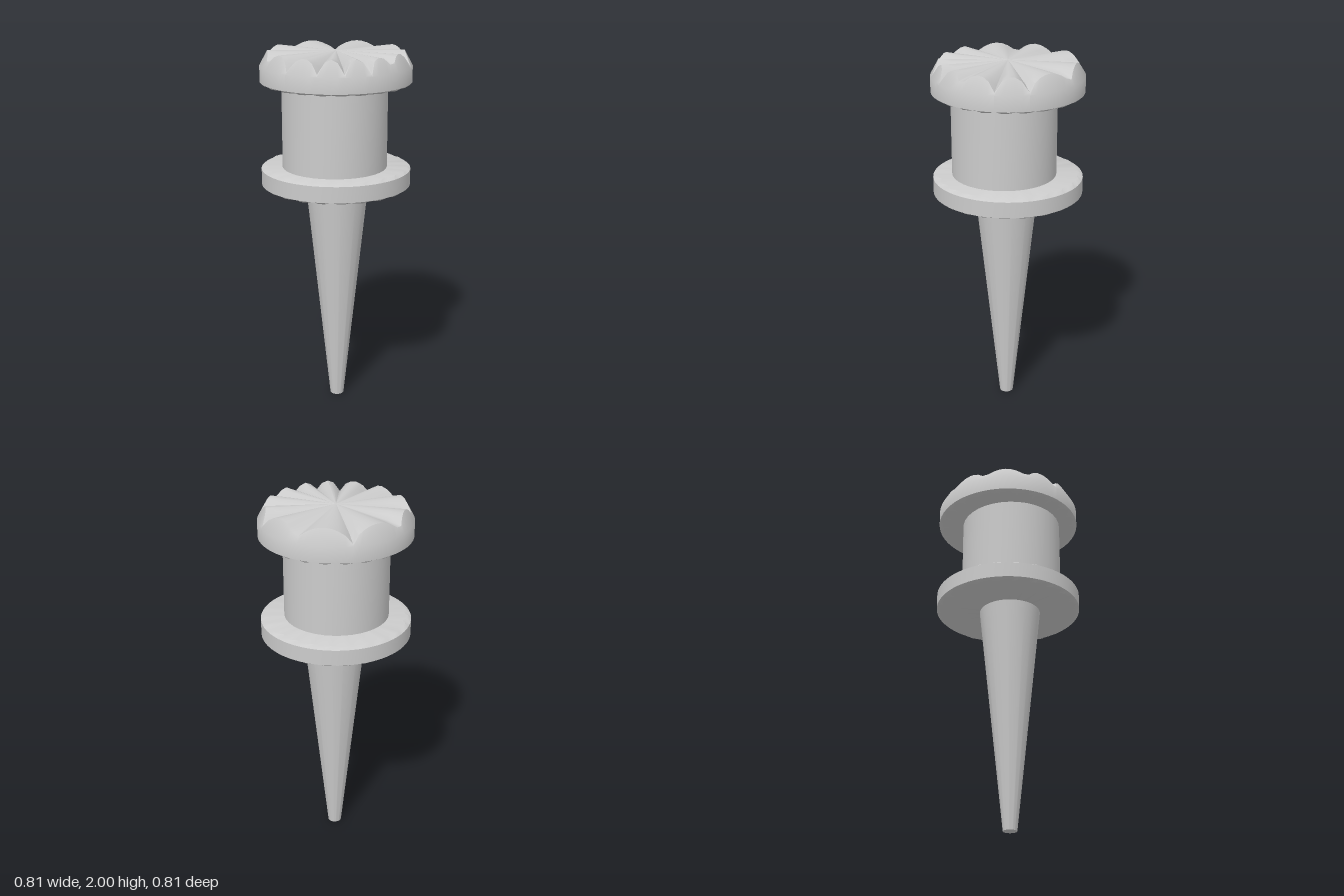
import * as THREE from 'three';
import { mergeVertices, toCreasedNormals } from 'three/addons/utils/BufferGeometryUtils.js';

const TAU = Math.PI * 2;
const material = new THREE.MeshStandardMaterial({ color: 0xcccccc, side: THREE.DoubleSide });

function addMesh(group, name, geometry, x = 0, y = 0, z = 0) {
  const mesh = new THREE.Mesh(geometry, material);
  mesh.name = name;
  mesh.position.set(x, y, z);
  group.add(mesh);
}

// Solid of 72 spokes whose profile of [radius, y] points, listed bottom to top, varies with angle
function turned(profileAt, crease) {
  const n = 72, points = [], index = [];
  let rows = 0;
  for (let i = 0; i < n; i++) {
    const a = (i / n) * TAU;
    const profile = profileAt(a);
    rows = profile.length;
    for (const [r, y] of profile) points.push(r * Math.cos(a), y, r * Math.sin(a));
  }
  for (let i = 0; i < n; i++) {
    const p = i * rows, q = ((i + 1) % n) * rows;
    for (let j = 0; j < rows - 1; j++) {
      if (j > 0) index.push(p + j, p + j + 1, q + j);
      if (j < rows - 2) index.push(q + j, p + j + 1, q + j + 1);
    }
  }
  let g = new THREE.BufferGeometry();
  g.setAttribute('position', new THREE.Float32BufferAttribute(points, 3));
  g.setIndex(index);
  g = mergeVertices(g, 1e-5);
  g.computeVertexNormals();
  return crease ? toCreasedNormals(g, crease) : g;
}

// Angles (degrees, from +x towards +z) of the creases pressed into the cap
const creases = [5, 30, 58, 80, 100, 120, 145, 172, 208, 242, 285, 327, 365];

// 0 at a crease, rising to 1 on the lobe between two creases
function lobe(a) {
  let deg = (a / TAU) * 360;
  if (deg < creases[0]) deg += 360;
  const k = creases.findIndex((c, i) => deg >= c && deg <= creases[i + 1]);
  const s = (deg - creases[k]) / (creases[k + 1] - creases[k]);
  return Math.pow(Math.max(0, Math.sin(Math.PI * s)), 0.65);
}

// Small scallops along the bevelled edges
const scallop = (a, count) => Math.abs(Math.sin((a * count) / 2));

export function createModel() {
  const group = new THREE.Group();

  // Tapered spike with a flat tip
  const spike = new THREE.CylinderGeometry(0.173, 0.038, 1.28, 36);
  addMesh(group, 'spike', toCreasedNormals(spike, 0.7), 0.003, 0.64, 0.011);

  // Lower collar
  const collar = turned((a) => {
    const inset = 0.36 + 0.03 * scallop(a, 23);
    return [[0, 1.264], [inset, 1.264], [0.405, 1.276], [0.405, 1.362], [inset, 1.374], [0, 1.374]];
  }, 0.7);
  addMesh(group, 'collar', collar);

  // Grip barrel, slightly off centre
  const barrel = new THREE.CylinderGeometry(0.283, 0.283, 0.5, 36);
  addMesh(group, 'barrel', toCreasedNormals(barrel, 0.7), -0.012, 1.6, 0.017);

  // Cap with a lobed crown over a straight rim
  const cap = turned((a) => {
    const w = lobe(a);
    const r = 0.395 - 0.035 * w, y = 1.93 + 0.07 * w;
    const inset = 0.36 + 0.03 * scallop(a, 23);
    return [
      [0, 1.823], [inset, 1.823], [0.405, 1.835], [0.405, 1.918],
      [r, y], [r * 0.8, 1.995 + (y - 1.995) * 0.68], [0, 1.995],
    ];
  }, 0.75);
  addMesh(group, 'cap', cap);

  return group;
}
